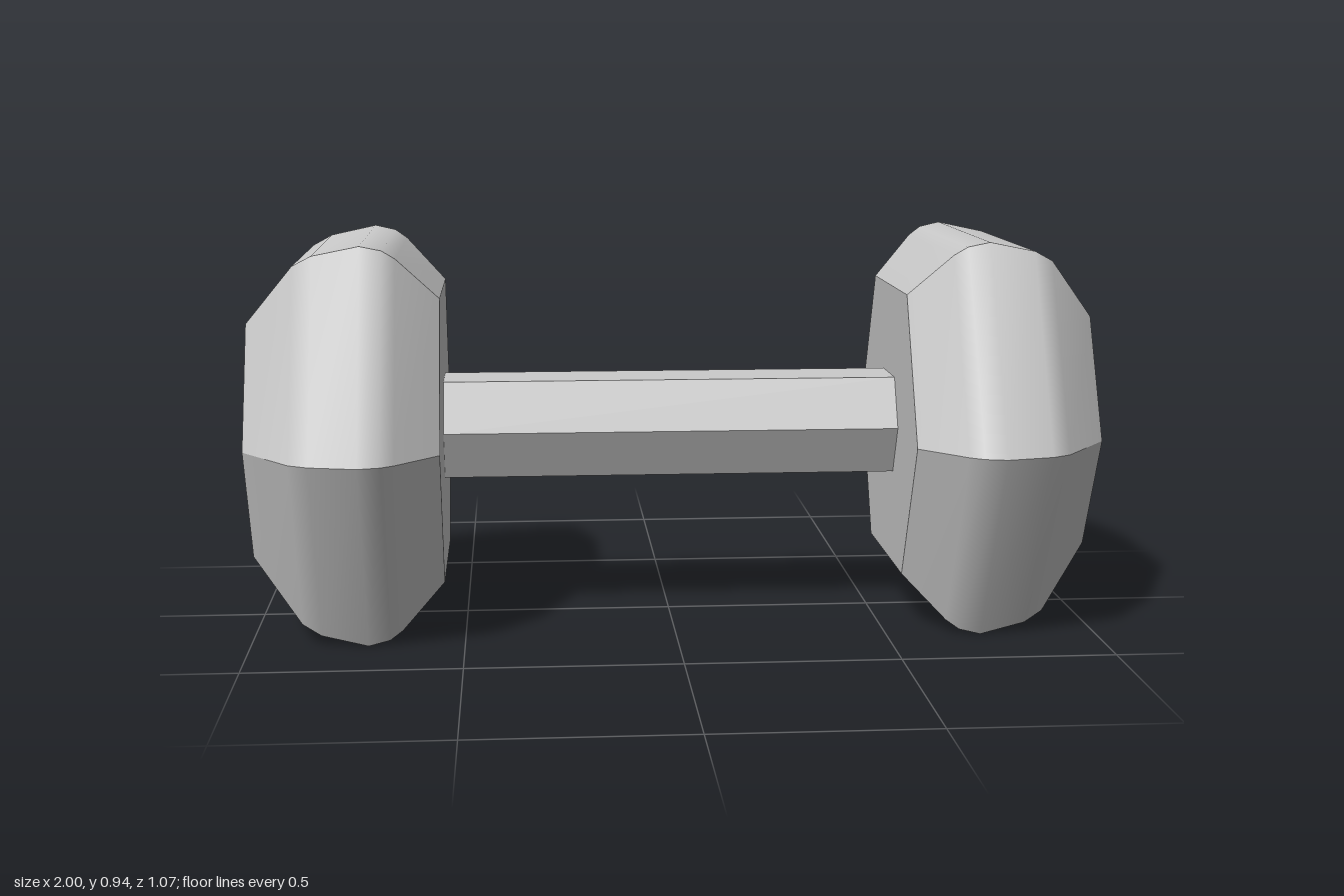
import * as THREE from 'three';
import { mergeGeometries } from 'three/addons/utils/BufferGeometryUtils.js';

const material = new THREE.MeshStandardMaterial({ color: 0xcccccc });
const CENTRE_Y = 0.468;

function surface(points, index) {
  const g = new THREE.BufferGeometry();
  g.setAttribute('position', new THREE.Float32BufferAttribute(points.flat(), 3));
  g.setIndex(index);
  g.computeVertexNormals();
  return g;
}

// Six-sided solid along x: profile is [x, half height] pairs. Each side is
// smooth along its length, with hard edges between sides and at the ends.
function hexSolid(profile, pointRatio, cornerRatio) {
  const corners = [
    [pointRatio, 0], [cornerRatio, 1], [-cornerRatio, 1],
    [-pointRatio, 0], [-cornerRatio, -1], [cornerRatio, -1],
  ];
  const at = ([x, r], i) => [x, r * corners[i % 6][1], r * corners[i % 6][0]];
  const parts = [];

  // sides
  for (let side = 0; side < 6; side++) {
    const points = [], index = [];
    profile.forEach((p, k) => {
      points.push(at(p, side), at(p, side + 1));
      if (k > 0) {
        const a = 2 * k - 2;
        index.push(a, a + 2, a + 3, a, a + 3, a + 1);
      }
    });
    parts.push(surface(points, index));
  }

  // flat ends
  const ring = (p) => corners.map((_, i) => at(p, i));
  const fan = [0, 1, 2, 0, 2, 3, 0, 3, 4, 0, 4, 5];
  parts.push(surface(ring(profile[0]), fan));
  parts.push(surface(ring(profile[profile.length - 1]), [...fan].reverse()));
  return mergeGeometries(parts);
}

export function createModel() {
  const model = new THREE.Group();
  model.name = 'dumbbell';

  // weights, rounded at the rim and tapering more on the outside
  const headGeometry = hexSolid([
    [0.548, 0.338], [0.645, 0.437], [0.675, 0.457], [0.725, 0.468],
    [0.835, 0.445], [0.88, 0.421], [1, 0.278],
  ], 1.148, 0.647);
  for (const name of ['leftWeight', 'rightWeight']) {
    const weight = new THREE.Mesh(headGeometry, material);
    weight.name = name;
    weight.position.y = CENTRE_Y;
    if (name === 'rightWeight') weight.rotation.y = Math.PI;
    model.add(weight);
  }

  // handle
  const handle = new THREE.Mesh(hexSolid([[-0.55, 0.117], [0.55, 0.117]], 1.16, 0.66), material);
  handle.name = 'handle';
  handle.position.y = CENTRE_Y + 0.003;
  model.add(handle);

  return model;
}
